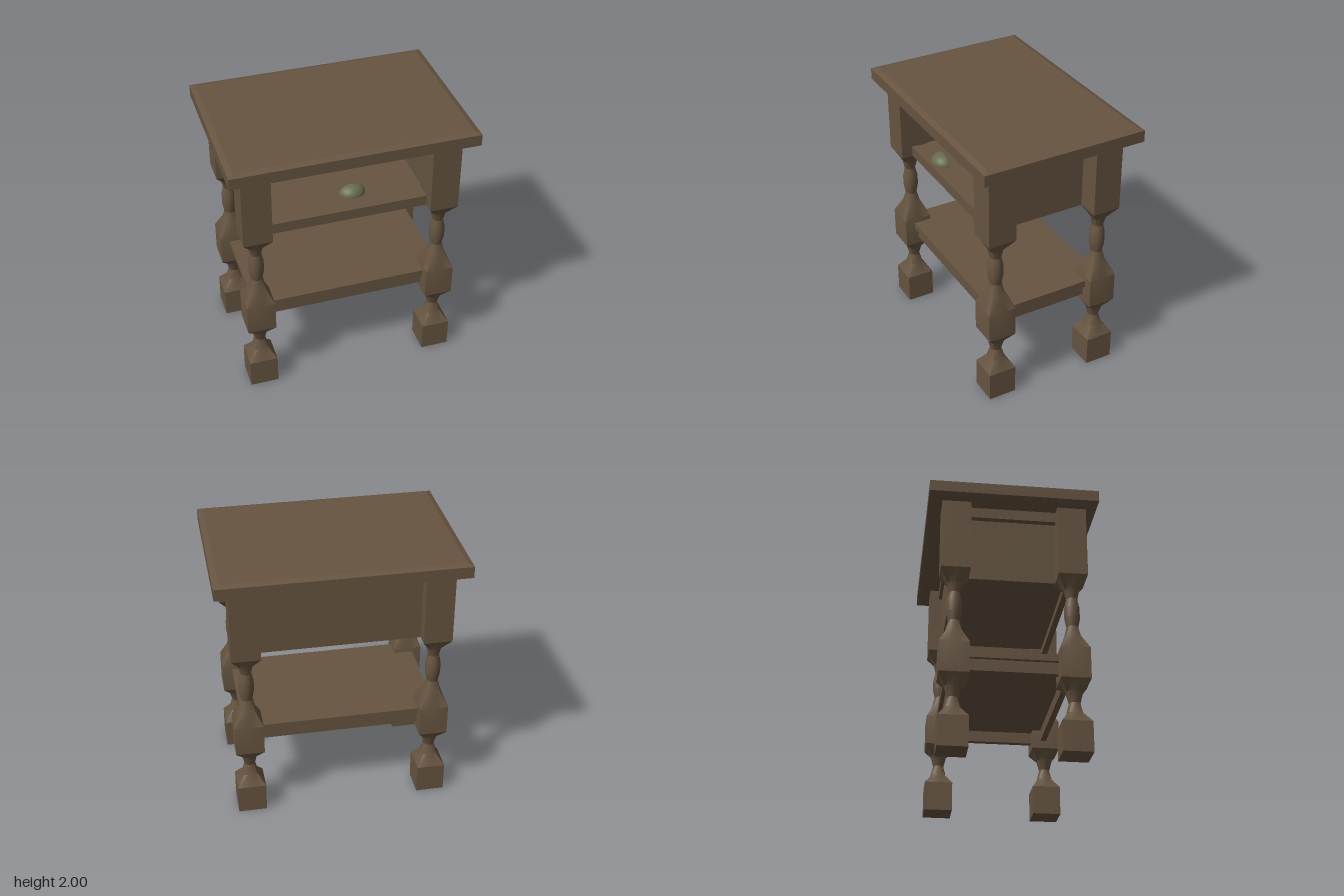
import * as THREE from 'three';
import { toCreasedNormals } from 'three/addons/utils/BufferGeometryUtils.js';

const wood = new THREE.MeshStandardMaterial({ color: 0x665440 });
const brass = new THREE.MeshStandardMaterial({ color: 0x666a4c, side: THREE.DoubleSide });

// Stack of closed rings (bottom to top), capped at both ends.
function loft(rings, crease) {
  const n = rings[0].length, pos = [], idx = [];
  rings.forEach(r => r.forEach(p => pos.push(...p)));
  for (let j = 0; j < rings.length - 1; j++) {
    for (let i = 0; i < n; i++) {
      const a = j * n + i, b = j * n + (i + 1) % n;
      idx.push(a, a + n, b, b, a + n, b + n);
    }
  }
  const top = (rings.length - 1) * n;
  for (let i = 1; i < n - 1; i++) {
    idx.push(0, i, i + 1, top, top + i + 1, top + i);
  }
  const g = new THREE.BufferGeometry();
  g.setAttribute('position', new THREE.Float32BufferAttribute(pos, 3));
  g.setIndex(idx);
  return toCreasedNormals(g, crease);
}

// Leg section: half width h, roundness t (0 = square, 1 = circle).
function legRing([y, h, t]) {
  return Array.from({ length: 16 }, (_, i) => {
    const a = i * Math.PI / 8, c = Math.cos(a), s = Math.sin(a);
    const square = h / Math.max(Math.abs(c), Math.abs(s));
    const r = square + (h - square) * t;
    return [r * c, y, r * s];
  });
}

// Table top section: a plain rectangle.
function rectRing([y, hx, hz]) {
  return [[hx, y, hz], [-hx, y, hz], [-hx, y, -hz], [hx, y, -hz]];
}

export function createModel() {
  const group = new THREE.Group();
  const add = (name, geometry, material = wood) => {
    const mesh = new THREE.Mesh(geometry, material);
    mesh.name = name;
    group.add(mesh);
    return mesh;
  };
  // Box given by its limits on each axis.
  const box = (name, x0, x1, y0, y1, z0, z1) =>
    add(name, new THREE.BoxGeometry(x1 - x0, y1 - y0, z1 - z0))
      .position.set((x0 + x1) / 2, (y0 + y1) / 2, (z0 + z1) / 2);

  // Bevelled top
  add('tableTop', loft([
    [1.88, 0.85, 0.575], [1.9, 0.886, 0.613],
    [1.985, 0.886, 0.613], [2, 0.846, 0.573],
  ].map(rectRing), 0.1));

  // Turned legs with square blocks
  const leg = loft([
    [0, 0.105, 0], [0.22, 0.105, 0], [0.3, 0.06, 0.7], [0.38, 0.04, 1],
    [0.46, 0.06, 0.8], [0.535, 0.105, 0], [0.765, 0.105, 0],
    [0.88, 0.062, 0.7], [0.96, 0.042, 1], [1.03, 0.056, 1], [1.11, 0.056, 1],
    [1.18, 0.04, 1], [1.25, 0.055, 0.8], [1.34, 0.105, 0], [1.885, 0.105, 0],
  ].map(legRing), 0.42);
  for (const x of [-0.69, 0.68]) {
    for (const z of [-0.41, 0.425]) add('leg', leg).position.set(x, 0, z);
  }

  // Cabinet: open front with two rails, floor, back and side panels
  box('frontTopRail', -0.585, 0.575, 1.8, 1.88, 0.4, 0.445);
  box('frontBottomRail', -0.585, 0.575, 1.34, 1.42, 0.4, 0.445);
  box('cabinetFloor', -0.6, 0.6, 1.395, 1.415, -0.4, 0.41);
  box('backPanel', -0.6, 0.569, 1.34, 1.88, -0.42, -0.385);
  box('backTopRail', -0.585, 0.575, 1.8, 1.88, -0.445, -0.4);
  for (const s of [-1, 1]) {
    const c = -0.005;
    const span = (a, b) => [c + s * a, c + s * b].sort((p, q) => p - q);
    box('sidePanel', ...span(0.59, 0.625), 1.34, 1.88, -0.31, 0.325);
    box('sideTopRail', ...span(0.67, 0.715), 1.8, 1.88, -0.31, 0.325);
  }

  // Lower shelf on a recessed apron
  box('shelf', -0.725, 0.715, 0.68, 0.73, -0.445, 0.455);
  for (const z of [-0.395, 0.405]) {
    box('shelfLongApron', -0.6, 0.59, 0.593, 0.68, z - 0.022, z + 0.022);
  }
  for (const x of [-0.675, 0.665]) {
    box('shelfSideApron', x - 0.022, x + 0.022, 0.593, 0.68, -0.31, 0.325);
  }

  // Cup pull: quarter dome open below and behind
  const pull = add('drawerPull',
    new THREE.SphereGeometry(1, 20, 10, 0, Math.PI, 0, Math.PI / 2), brass);
  pull.scale.set(0.094, 0.066, 0.085);
  pull.position.set(0, 1.602, 0.47);

  return group;
}
